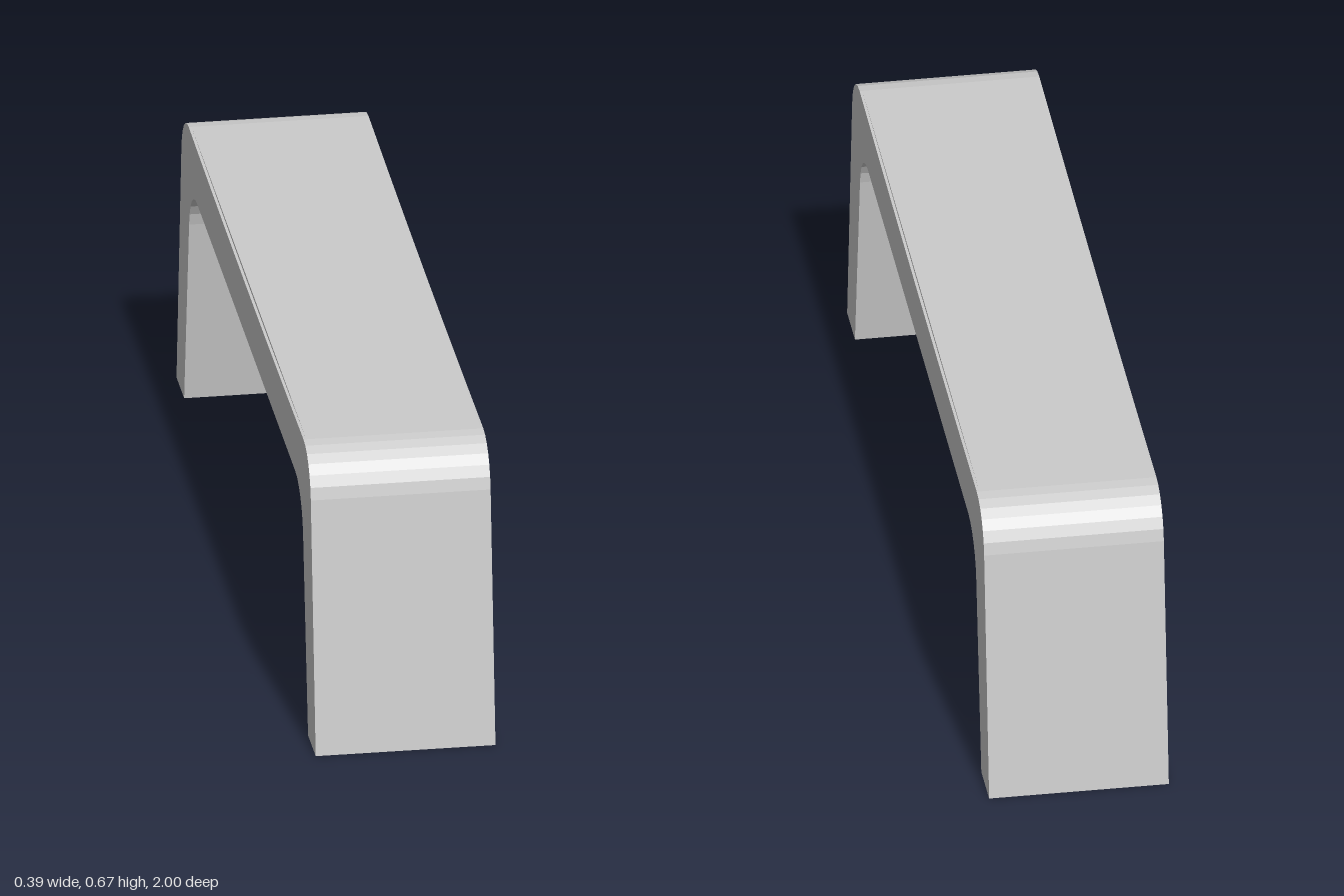
import * as THREE from 'three';

const HALF_WIDTH = 0.195;

// Extrude a side profile (z, y) symmetrically across x
function acrossX(shape, halfWidth, name) {
  const geometry = new THREE.ExtrudeGeometry(shape, {
    depth: halfWidth * 2, bevelEnabled: false, curveSegments: 6,
  });
  geometry.translate(0, 0, -halfWidth).rotateY(-Math.PI / 2);
  const mesh = new THREE.Mesh(geometry, new THREE.MeshStandardMaterial({ color: 0xcccccc }));
  mesh.name = name;
  return mesh;
}

// Near-circular fillet between two tangent points around a sharp corner
function fillet(shape, from, corner, to) {
  const k = 0.58;
  const lerp = (a, b) => a + (b - a) * k;
  shape.bezierCurveTo(
    lerp(from[0], corner[0]), lerp(from[1], corner[1]),
    lerp(to[0], corner[0]), lerp(to[1], corner[1]), to[0], to[1]);
}

export function createModel() {
  const group = new THREE.Group();
  group.name = 'bench';

  // Bent frame: splayed legs and seat in one continuous band
  const frame = new THREE.Shape();
  frame.moveTo(1, 0);
  frame.lineTo(0.93, 0.57);
  fillet(frame, [0.93, 0.57], [0.918, 0.667], [0.825, 0.667]);
  frame.quadraticCurveTo(0, 0.653, -0.825, 0.667); // slight dip of the top edge
  fillet(frame, [-0.825, 0.667], [-0.918, 0.667], [-0.93, 0.57]);
  frame.lineTo(-1, 0);
  frame.lineTo(-0.89, 0);
  frame.lineTo(-0.819, 0.44);
  fillet(frame, [-0.819, 0.44], [-0.804, 0.54], [-0.705, 0.54]);
  frame.lineTo(0.705, 0.54);
  fillet(frame, [0.705, 0.54], [0.804, 0.54], [0.819, 0.44]);
  frame.lineTo(0.89, 0);
  frame.closePath();
  group.add(acrossX(frame, HALF_WIDTH, 'bentFrame'));

  // Flat seat surface, set in a little from both side edges
  const seat = new THREE.Shape();
  seat.moveTo(0.825, 0.667);
  seat.lineTo(-0.825, 0.667);
  seat.quadraticCurveTo(0, 0.62, 0.825, 0.667);
  group.add(acrossX(seat, HALF_WIDTH - 0.006, 'seatSurface'));

  return group;
}
